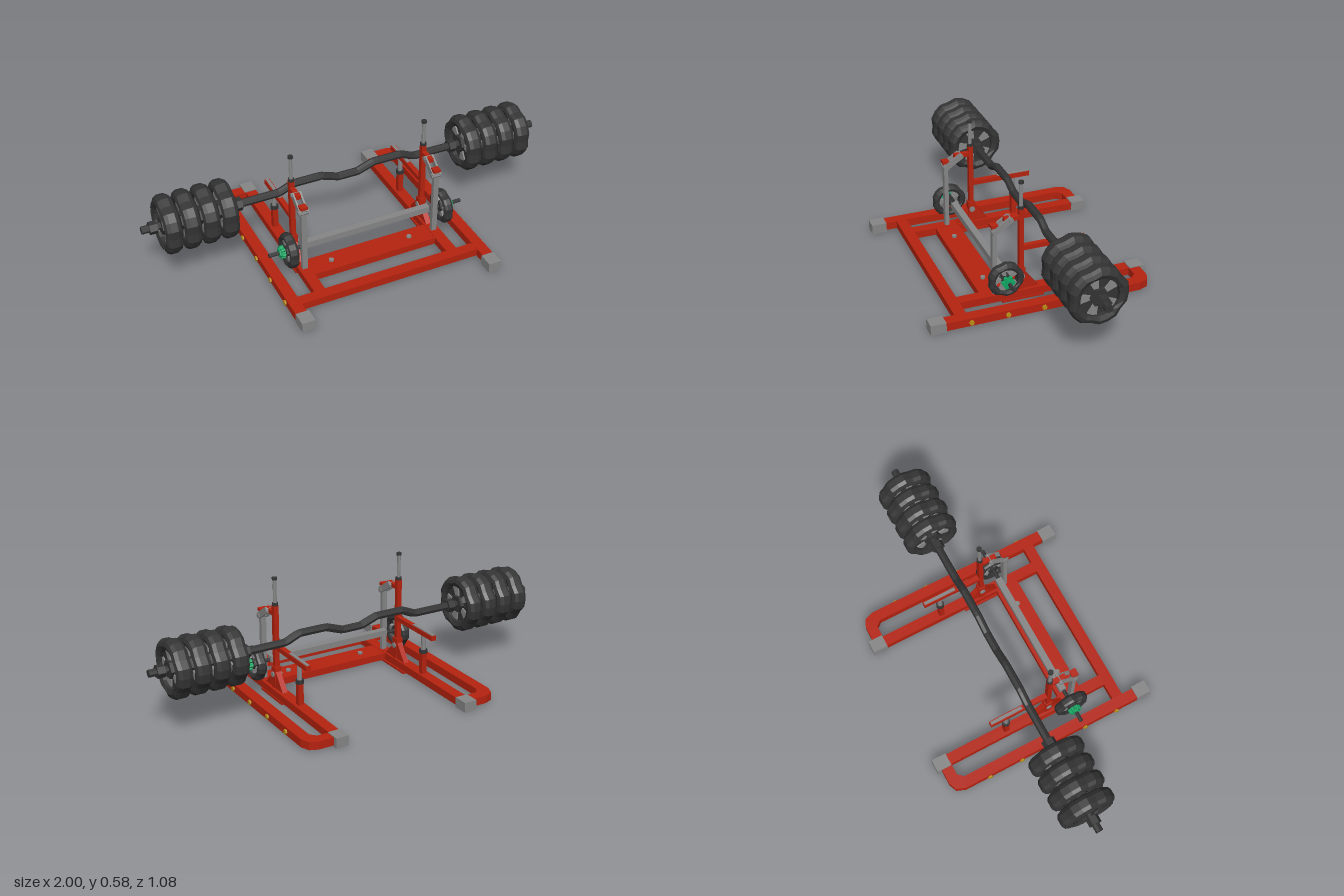
import * as THREE from 'three';

const mat = (name, color) => Object.assign(new THREE.MeshStandardMaterial({ color }), { name });

export function createModel() {
  const root = new THREE.Group();
  root.name = 'weightBench';
  const red = mat('red paint', 0xb5220f), black = mat('black rubber', 0x343434),
    steel = mat('grey steel', 0x868686), green = mat('green nut', 0x10a562),
    gold = mat('gold bolt', 0xb98f14);

  // Helpers: faceted mesh, box by centre, cylinders along x or y
  function add(name, geo, material, x = 0, y = 0, z = 0, parent = root) {
    const g = geo.index ? geo.toNonIndexed() : geo;
    g.computeVertexNormals();
    const m = new THREE.Mesh(g, material);
    m.name = name;
    m.position.set(x, y, z);
    parent.add(m);
    return m;
  }
  const box = (name, material, w, h, d, x, y, z) =>
    add(name, new THREE.BoxGeometry(w, h, d), material, x, y, z);
  const rodX = (name, material, r, len, x, y, z, n = 8, parent = root) =>
    add(name, new THREE.CylinderGeometry(r, r, len, n).rotateZ(Math.PI / 2), material, x, y, z, parent);
  const rodY = (name, material, r, y0, y1, x, z, n = 8) =>
    add(name, new THREE.CylinderGeometry(r, r, y1 - y0, n), material, x, (y0 + y1) / 2, z);
  const outline = pts => new THREE.Shape(pts.map(p => new THREE.Vector2(p[0], p[1])));
  // Plate cut in the z-y plane, with its thickness along x
  const sidePlate = (pts, t) => new THREE.ExtrudeGeometry(outline(pts), { depth: t, bevelEnabled: false })
    .rotateY(-Math.PI / 2).translate(t / 2, 0, 0);

  // Weight plate: chunky rim with five raised arcs, wedge spokes and a hex hub
  function weightPlate(name, x, y, z, scale, solid) {
    const p = new THREE.Group();
    p.name = name;
    p.position.set(x, y, z);
    p.scale.setScalar(scale);
    const prof = [[0.088, -0.03], [0.105, -0.039], [0.122, -0.032], [0.131, -0.016], [0.131, 0.016],
      [0.122, 0.032], [0.105, 0.039], [0.088, 0.03], [0.088, -0.03]].map(q => new THREE.Vector2(...q));
    const rim = new THREE.LatheGeometry(prof, 20), pos = rim.attributes.position;
    for (let i = 0; i < pos.count; i++) {
      const a = pos.getX(i), b = pos.getZ(i);
      if (Math.hypot(a, b) < 0.1) continue;
      const step = (Math.round(Math.atan2(a, b) / (Math.PI / 10)) + 20) % 4;
      const k = step === 0 ? 0.96 : 1.04;
      pos.setX(i, a * k);
      pos.setZ(i, b * k);
    }
    add('rim', rim.rotateZ(Math.PI / 2), black, 0, 0, 0, p);
    if (solid) rodX('web', black, 0.092, 0.02, 0, 0, 0, 20, p);
    for (let i = 0; i < 5; i++) {
      const spoke = sidePlate([[-0.009, 0.03], [0.009, 0.03], [0.024, 0.092], [-0.024, 0.092]], 0.034);
      add('spoke', spoke.rotateX(i * Math.PI * 0.4 + 0.3), steel, 0, 0, 0, p);
    }
    rodX('hub', black, 0.043, 0.06, 0, 0, 0, 6, p);
    root.add(p);
  }

  const PX = 0.332, BARY = 0.31, BARZ = -0.053, AXY = 0.143, AXZ = 0.157;

  // Cross members of the base
  box('frontCrossTube', red, 0.89, 0.036, 0.052, 0, 0.027, 0.387);
  box('basePlate', red, 0.64, 0.034, 0.115, 0, 0.026, 0.195);
  box('lowerCrossbar', steel, 0.64, 0.03, 0.032, 0, 0.15, 0.153);

  for (const s of [-1, 1]) {
    // Base rail turning inwards at the back
    const rail = outline([[0.495, 0.48], [0.442, 0.48], [0.442, -0.435], [0.418, -0.462], [0.36, -0.462],
      [0.36, -0.514], [0.44, -0.514], [0.478, -0.498], [0.495, -0.455]].map(q => [q[0] * s, q[1]]));
    add('outerRail', new THREE.ExtrudeGeometry(rail, { depth: 0.038, bevelEnabled: false })
      .rotateX(Math.PI / 2), red, 0, 0.046, 0);
    box('innerRail', red, 0.052, 0.036, 0.83, s * 0.334, 0.027, -0.05);
    box('frontFoot', steel, 0.063, 0.048, 0.072, s * 0.465, 0.026, 0.503);
    box('rearFoot', steel, 0.063, 0.048, 0.072, s * 0.335, 0.026, -0.5);
    for (let i = 0; i < 5; i++)
      rodX('railBolt', gold, 0.012, 0.012, s * 0.497, 0.026, 0.353 - i * 0.17, 6);
    rodY('plateBolt', steel, 0.012, 0.04, 0.053, s * 0.2, 0.195);

    // Main upright with gussets and telescoping tube
    box('uprightFoot', red, 0.064, 0.01, 0.2, s * PX, 0.005, 0.06);
    box('upright', red, 0.024, 0.41, 0.022, s * PX, 0.245, 0.063);
    box('uprightSleeve', red, 0.034, 0.105, 0.034, s * PX, 0.097, 0.063);
    add('gusset', sidePlate([[0.145, 0.045], [0.08, 0.11], [0.045, 0.127], [-0.018, 0.045]], 0.026), red, s * PX);
    rodX('uprightBolt', steel, 0.014, 0.046, s * PX, 0.112, 0.063, 8);
    rodY('upperTube', steel, 0.009, 0.45, 0.572, s * PX, 0.063);
    rodY('tubeCollar', black, 0.015, 0.447, 0.461, s * PX, 0.063);
    rodY('tubeCap', black, 0.0125, 0.57, 0.582, s * PX, 0.063);

    // Front post linked back to the upright
    box('frontPost', steel, 0.026, 0.336, 0.02, s * PX, 0.212, 0.19);
    box('frontPostCap', red, 0.034, 0.014, 0.032, s * PX, 0.386, 0.19);
    box('linkTube', red, 0.024, 0.02, 0.09, s * PX, 0.408, 0.1);
    for (const d of [-0.017, 0.017]) {
      const link = box('linkArm', steel, 0.008, 0.03, 0.1, s * PX + d, 0.384, 0.155);
      link.rotation.x = Math.atan2(0.05, 0.075);
    }
    rodX('lowerPivot', steel, 0.013, 0.05, s * PX, 0.358, 0.19);
    rodX('upperPivot', steel, 0.011, 0.05, s * PX, 0.408, 0.115);

    // Safety arm on its rear post
    box('safetyArm', red, 0.024, 0.023, 0.295, s * PX, 0.251, -0.092);
    box('safetyArmPad', steel, 0.015, 0.005, 0.16, s * PX, 0.264, -0.155);
    box('rearPost', red, 0.026, 0.108, 0.025, s * PX, 0.1, -0.157);
    rodY('rearPostCollar', black, 0.02, 0.15, 0.168, s * PX, -0.157);
    rodY('rearPostTube', steel, 0.012, 0.16, 0.242, s * PX, -0.157);

    // Storage axle, small plate and nut
    rodX('storageAxle', black, 0.009, 0.17, s * 0.405, AXY, AXZ);
    weightPlate('smallPlate', s * 0.392, AXY, AXZ, 0.61, false);
    rodX('nut', green, 0.022, 0.028, s * 0.428, AXY, AXZ, 6);
    for (let i = 0; i < 6; i++) {
      const a = i * Math.PI / 3;
      rodX('nutLobe', green, 0.009, 0.02, s * 0.426, AXY + Math.sin(a) * 0.022, AXZ + Math.cos(a) * 0.022, 6);
    }

    // Barbell load
    for (let i = 0; i < 4; i++)
      weightPlate('largePlate', s * (0.618 + i * 0.088), BARY, BARZ, 1, true);
    rodX('outerCollar', black, 0.03, 0.036, s * 0.947, BARY, BARZ, 6);
    rodX('innerCollar', black, 0.032, 0.034, s * 0.548, BARY, BARZ, 6);
    rodX('sleeve', black, 0.018, 0.5, s * 0.75, BARY, BARZ);
  }

  // Curl bar with angled grips
  const half = [[0.05, 0.311], [0.135, 0.341], [0.275, 0.341], [0.345, 0.311], [0.54, 0.31]];
  const pts = [...half.map(q => [-q[0], q[1]]).reverse(), ...half];
  const path = new THREE.CurvePath();
  for (let i = 0; i < pts.length - 1; i++) path.add(new THREE.LineCurve3(
    new THREE.Vector3(pts[i][0], pts[i][1], BARZ), new THREE.Vector3(pts[i + 1][0], pts[i + 1][1], BARZ)));
  add('curlBar', new THREE.TubeGeometry(path, 64, 0.019, 8), black);

  return root;
}
